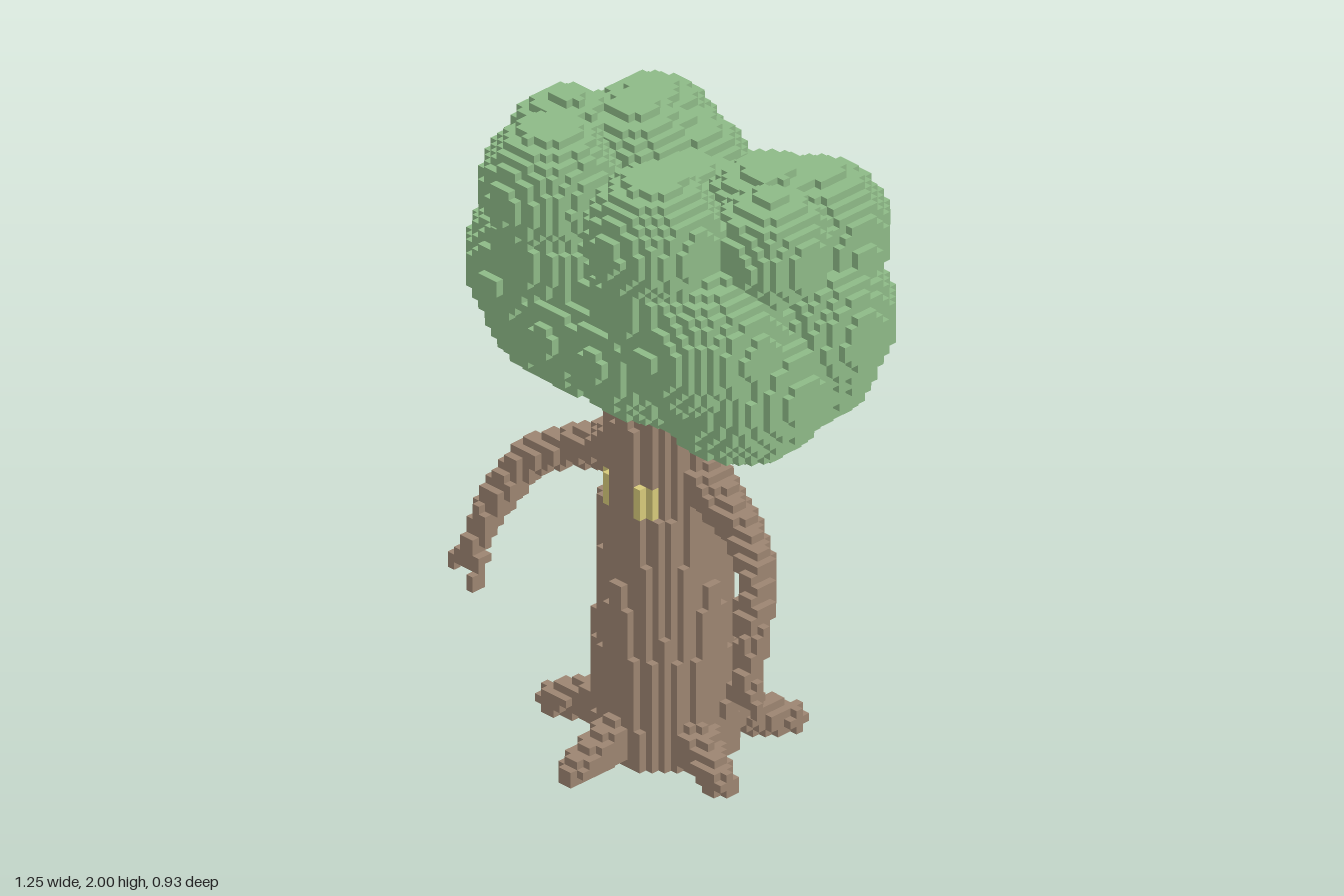
import * as THREE from 'three';

const V = 0.025;                 // voxel edge
const NX = 50, NY = 80, NZ = 37; // grid size

// Leaf clumps: x, y, z, radius (mirrored in x)
const CLUMPS = [
  [0.21, 1.815, 0.265, 0.193], // front crown knobs
  [0.41, 1.75, 0.0, 0.17],     // side crown knobs
  [0.27, 1.7, -0.12, 0.2],     // rear crown
  [0.335, 1.67, -0.26, 0.207], // rear upper corners
  [0.18, 1.63, -0.23, 0.21],   // rear upper middle
  [0.39, 1.46, -0.18, 0.238],  // widest side clumps
  [0.335, 1.34, 0.04, 0.262],  // low side clumps
  [0.29, 1.335, -0.2, 0.258],  // low rear clumps
  [0.14, 1.48, -0.2, 0.243],   // rear middle
  [0.31, 1.5, 0.165, 0.237],   // front cheeks
  [0.1, 1.4, 0.17, 0.234],     // front centre
  [0.2, 1.62, 0.21, 0.205],    // below the front knobs
  [0.0, 1.6, -0.06, 0.23],     // hollow of the crown
  [0.0, 1.48, -0.21, 0.25],    // rear centre
];

// Tapered limbs: chains of x, y, z, radius
const ARM = [
  [0.14, 0.9, 0.015, 0.088], [0.22, 0.868, 0.015, 0.066], [0.34, 0.82, 0.04, 0.053],
  [0.46, 0.76, 0.1, 0.05], [0.52, 0.63, 0.175, 0.045], [0.55, 0.5, 0.225, 0.033],
];
const FINGERS = [
  [[0.55, 0.5, 0.225, 0.033], [0.575, 0.455, 0.24, 0.028], [0.61, 0.425, 0.25, 0.022]],
  [[0.55, 0.5, 0.225, 0.033], [0.52, 0.45, 0.25, 0.022], [0.515, 0.395, 0.265, 0.018]],
];
// Five roots spread evenly around the trunk, the first one to the front
const ROOTS = Array.from({ length: 5 }, (_, i) => {
  const a = (i * Math.PI * 2) / 5, s = Math.sin(a), c = Math.cos(a);
  return [[0.16 * s, 0.09, 0.0125 + 0.16 * c, 0.07], [0.355 * s, 0.033, 0.0125 + 0.355 * c, 0.042]];
});

// True when the point lies inside a chain of tapered capsules
function inChain(chain, x, y, z) {
  for (let i = 0; i + 1 < chain.length; i++) {
    const a = chain[i], b = chain[i + 1];
    const d = [b[0] - a[0], b[1] - a[1], b[2] - a[2]];
    const p = [x - a[0], y - a[1], z - a[2]];
    const dot = p[0] * d[0] + p[1] * d[1] + p[2] * d[2];
    const t = Math.min(1, Math.max(0, dot / (d[0] ** 2 + d[1] ** 2 + d[2] ** 2)));
    const r = a[3] + (b[3] - a[3]) * t;
    if (Math.hypot(p[0] - d[0] * t, p[1] - d[1] * t, p[2] - d[2] * t) < r) return true;
  }
  return false;
}

function inTrunk(x, y, z) {
  return y < 1.3 && Math.hypot(x, z - 0.0125) < 0.2125 - 0.043 * y;
}

// Rounded block in the middle, with the clumps around it
function inFoliage(ax, y, z) {
  if (y < 1.075) return false;
  const core = (ax / 0.5) ** 2.6 + Math.abs((y - 1.45) / 0.34) ** 2.6 + Math.abs((z + 0.03) / 0.37) ** 2.6;
  return core < 1 || CLUMPS.some(([cx, cy, cz, r]) => Math.hypot(ax - cx, y - cy, z - cz) < r);
}

// Name of the part that fills a voxel centre, or null
function partAt(x, y, z) {
  const ax = Math.abs(x);
  if (inFoliage(ax, y, z)) return 'foliage';
  if (inTrunk(x, y, z)) {
    const eye = ax > 0.05 && ax < 0.1 && y > 0.8 && y < 0.9 && z > 0.12;
    return eye ? 'eyes' : 'trunk';
  }
  if (y < 0.2 && ROOTS.some((c) => inChain(c, x, y, z))) return 'roots';
  if (y > 0.35 && y < 1.05 && (inChain(ARM, ax, y, z) || FINGERS.some((c) => inChain(c, ax, y, z)))) {
    return x > 0 ? 'leftArm' : 'rightArm';
  }
  return null;
}

export function createModel() {
  const mat = (name, color) => {
    const m = new THREE.MeshStandardMaterial({ color });
    m.name = name;
    return m;
  };
  const leaf = mat('leafGreen', 0x90bd89);
  const bark = mat('barkBrown', 0x9f8773);
  const glow = mat('eyeYellow', 0xdacd7c);
  const materials = { foliage: leaf, trunk: bark, roots: bark, leftArm: bark, rightArm: bark, eyes: glow };

  // Fill the grid
  const grid = new Array(NX * NY * NZ).fill(null);
  const at = (c) => (c[0] < 0 || c[1] < 0 || c[2] < 0 || c[0] >= NX || c[1] >= NY || c[2] >= NZ
    ? null : grid[(c[0] * NY + c[1]) * NZ + c[2]]);
  const each = (fn) => {
    for (let i = 0; i < NX; i++) for (let j = 0; j < NY; j++) for (let k = 0; k < NZ; k++) fn([i, j, k]);
  };
  each((c) => {
    grid[(c[0] * NY + c[1]) * NZ + c[2]] = partAt(
      (c[0] + 0.5 - NX / 2) * V, (c[1] + 0.5) * V, (c[2] + 0.5 - NZ / 2) * V);
  });

  // Emit only the exposed voxel faces of each part
  const data = {};
  for (const name in materials) data[name] = { pos: [], nor: [], idx: [] };
  each((c) => {
    const part = at(c);
    if (!part) return;
    const { pos, nor, idx } = data[part];
    for (let axis = 0; axis < 3; axis++) {
      for (const s of [-1, 1]) {
        const next = c.slice();
        next[axis] += s;
        if (at(next)) continue;
        const u = (axis + 1) % 3, w = (axis + 2) % 3, base = pos.length / 3;
        for (const [du, dw] of [[0, 0], [1, 0], [1, 1], [0, 1]]) {
          const p = c.slice(), n = [0, 0, 0];
          p[axis] += s > 0 ? 1 : 0;
          p[u] += du;
          p[w] += dw;
          n[axis] = s;
          pos.push((p[0] - NX / 2) * V, p[1] * V, (p[2] - NZ / 2) * V);
          nor.push(...n);
        }
        const order = s > 0 ? [0, 1, 2, 0, 2, 3] : [0, 2, 1, 0, 3, 2];
        idx.push(...order.map((o) => base + o));
      }
    }
  });

  const model = new THREE.Group();
  model.name = 'treeCreature';
  for (const name in materials) {
    const { pos, nor, idx } = data[name];
    const geo = new THREE.BufferGeometry();
    geo.setAttribute('position', new THREE.Float32BufferAttribute(pos, 3));
    geo.setAttribute('normal', new THREE.Float32BufferAttribute(nor, 3));
    geo.setIndex(idx);
    const mesh = new THREE.Mesh(geo, materials[name]);
    mesh.name = name;
    model.add(mesh);
  }
  return model;
}
